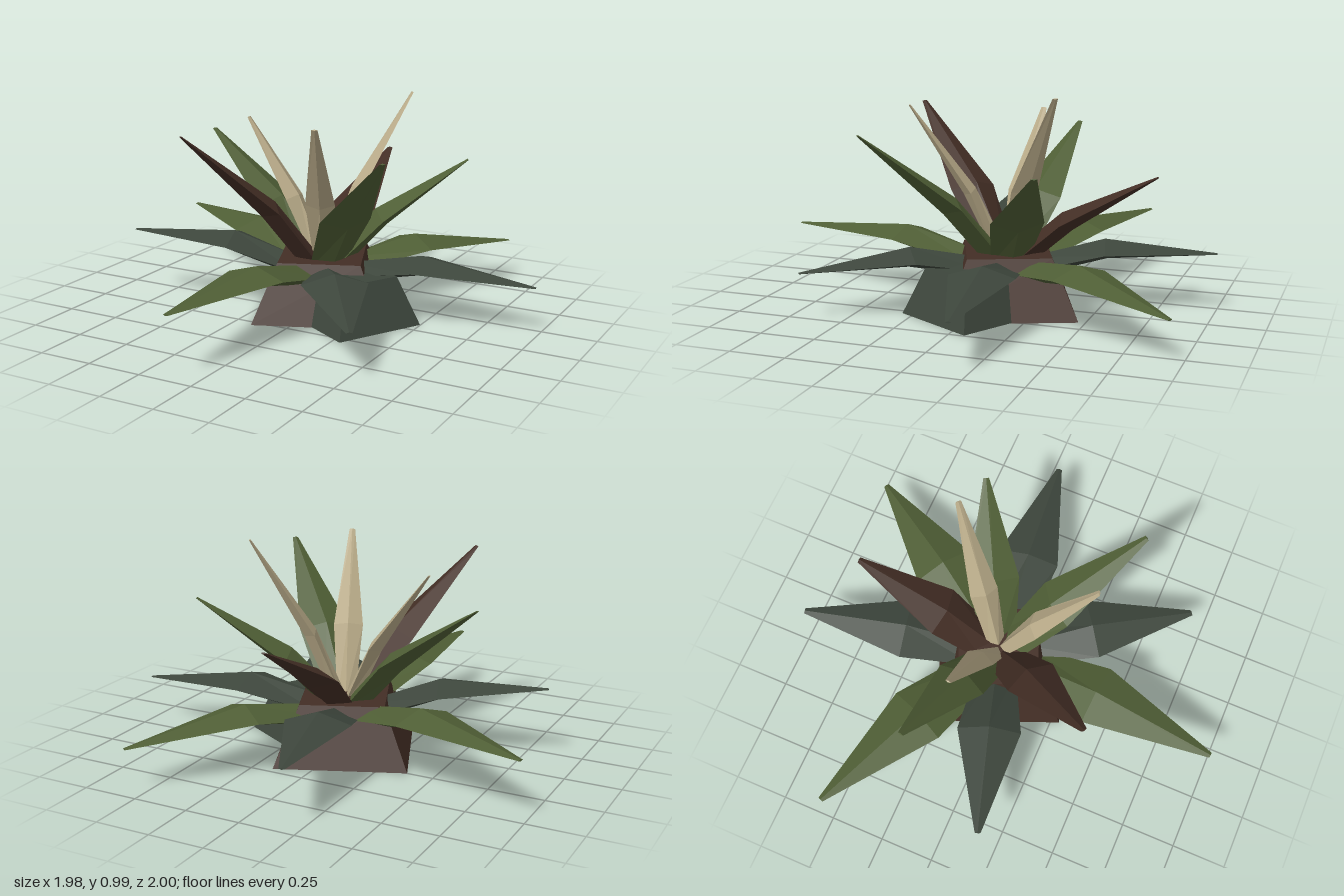
import * as THREE from 'three';

const V = (x, y, z) => new THREE.Vector3(x, y, z);

function material(name, color) {
  const m = new THREE.MeshStandardMaterial({ color, flatShading: true });
  m.name = name;
  return m;
}

// Skin four-cornered rings (counter-clockwise about the direction of travel) and cap both ends
function loft(rings) {
  const pos = [];
  const quad = (a, b, c, d) => [a, b, c, a, c, d].forEach((p) => pos.push(p.x, p.y, p.z));
  for (let r = 0; r < rings.length - 1; r++) {
    for (let i = 0; i < 4; i++) {
      const j = (i + 1) % 4;
      quad(rings[r][i], rings[r][j], rings[r + 1][j], rings[r + 1][i]);
    }
  }
  const [a, b, c, d] = rings[0];
  quad(d, c, b, a);
  quad(...rings[rings.length - 1]);
  const geometry = new THREE.BufferGeometry();
  geometry.setAttribute('position', new THREE.Float32BufferAttribute(pos, 3));
  geometry.computeVertexNormals();
  return geometry;
}

// Tapered square block; (vx, vz) points from its centre to one bottom corner
function block(cx, cz, vx, vz, y0, y1, taper) {
  const ring = (y, k) => [[vx, vz], [vz, -vx], [-vx, -vz], [-vz, vx]]
    .map(([x, z]) => V(cx + x * k, y, cz + z * k));
  return loft([ring(y0, 1), ring(y1, taper)]);
}

// Pointed leaf: diamond sections at the root, the bend and the tip
function leaf(tip, { rootY, rootR, rootW, bend, bendAt, width, thick }) {
  const root = V(0, rootY, -0.09);
  const out = V(tip.x, 0, tip.z + 0.09).normalize();
  root.addScaledVector(out, rootR);
  const axis = tip.clone().sub(root).normalize();
  const side = axis.clone().cross(V(0, 1, 0)).normalize();
  const up = side.clone().cross(axis);
  const mid = root.clone().lerp(tip, bendAt).addScaledVector(up, bend);
  const ring = (c, w, t) => [[up, t], [side, w], [up, -t], [side, -w]]
    .map(([dir, k]) => c.clone().addScaledVector(dir, k));
  return loft([ring(root, rootW, thick), ring(mid, width, thick), ring(tip, 0.013, 0.004)]);
}

export function createModel() {
  const group = new THREE.Group();
  group.name = 'spikyPlant';

  const green = material('leafGreen', 0x4f5e35);
  const grey = material('greyGreen', 0x3d463c);
  const brown = material('darkBrown', 0x432e25);
  const cream = material('paleCream', 0xb8aa88);

  const add = (name, geometry, mat) => {
    const mesh = new THREE.Mesh(geometry, mat);
    mesh.name = name;
    group.add(mesh);
  };

  // Ground blocks
  add('baseBlock', block(0, -0.09, 0.38, 0.16, 0, 0.26, 0.64), brown);
  add('sideBlock', block(0.21, 0.01, 0.29, -0.08, 0.002, 0.22, 0.64), grey);

  // Leaf rings, each leaf given by its tip
  const low = { rootY: 0.18, rootR: 0.1, rootW: 0.09, bend: 0.06, bendAt: 0.42, width: 0.145, thick: 0.045 };
  const upper = { rootY: 0.2, rootR: 0.04, rootW: 0.08, bend: 0.04, bendAt: 0.41, width: 0.118, thick: 0.045 };
  const inner = { rootY: 0.22, rootR: 0.02, rootW: 0.04, bend: 0.03, bendAt: 0.42, width: 0.066, thick: 0.03 };
  const leaves = [
    ['lowLeaf', low, green, [[-0.11, 0.275, 1], [0.58, 0.185, -0.95], [-0.985, 0.275, -0.53]]],
    ['lowLeaf', low, grey, [[0.53, 0.21, 0.68], [0.985, 0.215, -0.19], [-0.2, 0.265, -1], [-0.855, 0.325, 0.18]]],
    ['upperLeaf', upper, green, [[-0.675, 0.755, -0.235], [0.575, 0.7, -0.395], [0.525, 0.825, 0.39]]],
    ['upperLeaf', upper, brown, [[0.01, 0.63, -0.77], [-0.39, 0.86, 0.465]]],
    ['innerLeaf', inner, cream, [[0.295, 0.985, -0.395], [0.17, 0.915, 0.305], [-0.415, 0.85, -0.13]]],
  ];
  for (const [name, shape, mat, tips] of leaves) {
    for (const t of tips) add(name, leaf(V(...t), shape), mat);
  }
  return group;
}
